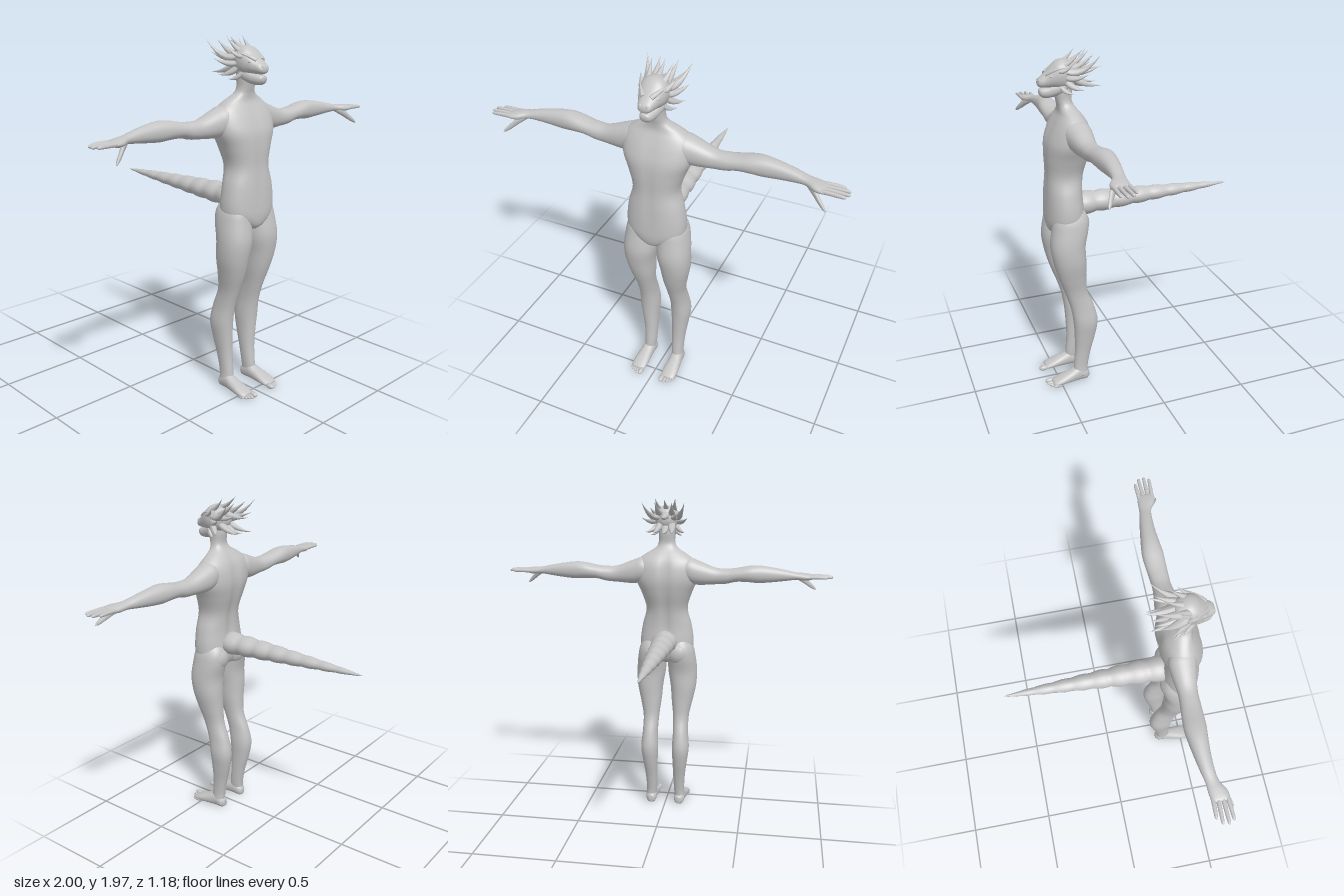
import * as THREE from 'three';

const skin = new THREE.MeshStandardMaterial({ color: 0xc4c4c4 });
skin.name = 'grey skin';

// Section planes (u x v points along the sweep axis)
const AXES = { x: ['y', 'z'], y: ['z', 'x'], z: ['x', 'y'] };

// Smooth closed skin over rows [cx, cy, cz, halfU, halfV], listed in ascending order along the axis
function loft(axis, rows, { sides = 28, steps = 5, power = 2.2, warp } = {}) {
  const spline = pts => new THREE.CatmullRomCurve3(pts, false, 'catmullrom', 0.5);
  const centres = spline(rows.map(r => new THREE.Vector3(r[0], r[1], r[2])));
  const sizes = spline(rows.map(r => new THREE.Vector3(r[3], r[4], 0)));
  const n = (rows.length - 1) * steps;
  const [u, v] = AXES[axis];
  const pos = [], idx = [];
  const round = c => Math.sign(c) * Math.pow(Math.abs(c), 2 / power);
  for (let i = 0; i <= n; i++) {
    const c = centres.getPoint(i / n), s = sizes.getPoint(i / n);
    for (let j = 0; j < sides; j++) {
      const a = (j / sides) * Math.PI * 2, p = c.clone();
      p[u] += Math.max(s.x, 0.001) * round(Math.cos(a));
      p[v] += Math.max(s.y, 0.001) * round(Math.sin(a));
      if (warp) warp(p, c);
      pos.push(p.x, p.y, p.z);
    }
  }
  for (let i = 0; i < n; i++) {
    for (let j = 0; j < sides; j++) {
      const a = i * sides + j, b = i * sides + (j + 1) % sides;
      idx.push(a, b, b + sides, a, b + sides, a + sides);
    }
  }
  // End caps
  for (const [t, row] of [[0, 0], [1, n]]) {
    const c = centres.getPoint(t), k = pos.length / 3;
    pos.push(c.x, c.y, c.z);
    for (let j = 0; j < sides; j++) {
      const a = row * sides + j, b = row * sides + (j + 1) % sides;
      if (t) idx.push(k, a, b); else idx.push(k, b, a);
    }
  }
  const g = new THREE.BufferGeometry();
  g.setAttribute('position', new THREE.Float32BufferAttribute(pos, 3));
  g.setIndex(idx);
  g.computeVertexNormals();
  return g;
}

// Upright rows [y, cx, halfWidth, zFront, zBack]
const upright = rows => rows.map(([y, x, w, f, b]) => [x, y, (f + b) / 2, (f - b) / 2, w]);

function ellipsoid(x, y, z, rx, ry, rz) {
  return new THREE.SphereGeometry(1, 20, 14).scale(rx, ry, rz).translate(x, y, z);
}

// Leaf-shaped spike from base to tip, sagging along the middle
function spike(base, tip, r, sag = 0.012) {
  const a = new THREE.Vector3(...base), d = new THREE.Vector3(...tip).sub(a), len = d.length();
  const g = new THREE.ConeGeometry(r, len, 8, 6).translate(0, len / 2, 0);
  const p = g.attributes.position;
  const q = new THREE.Quaternion().setFromUnitVectors(new THREE.Vector3(0, 1, 0), d.normalize());
  for (let i = 0; i < p.count; i++) {
    const t = p.getY(i) / len, k = 1 + 1.4 * t * (1 - t);
    const w = new THREE.Vector3(p.getX(i) * k, p.getY(i), p.getZ(i) * k * 0.75).applyQuaternion(q).add(a);
    w.y -= sag * 4 * t * (1 - t);
    p.setXYZ(i, w.x, w.y, w.z);
  }
  g.computeVertexNormals();
  return g;
}

function mirrored(g) {
  const m = g.clone().scale(-1, 1, 1), ix = m.index;
  for (let i = 0; i < ix.count; i += 3) {
    const b = ix.getX(i + 1);
    ix.setX(i + 1, ix.getX(i + 2));
    ix.setX(i + 2, b);
  }
  m.computeVertexNormals();
  return m;
}

export function createModel() {
  const model = new THREE.Group();
  model.name = 'hornedFigure';
  const add = (name, g) => {
    const m = new THREE.Mesh(g, skin);
    m.name = name;
    model.add(m);
  };
  const pair = (name, g) => {
    add(name + 'Left', g);
    add(name + 'Right', mirrored(g));
  };

  // Torso and neck, with a shallow groove along spine and breastbone
  add('torso', loft('y', upright([
    [0.955, 0, 0.02, 0.49, 0.38], [0.98, 0, 0.08, 0.515, 0.335], [1.03, 0, 0.155, 0.525, 0.315],
    [1.1, 0, 0.166, 0.525, 0.315], [1.2, 0, 0.152, 0.52, 0.32], [1.3, 0, 0.128, 0.512, 0.31],
    [1.4, 0, 0.155, 0.512, 0.282], [1.48, 0, 0.188, 0.505, 0.267], [1.55, 0, 0.192, 0.48, 0.272],
    [1.6, 0, 0.175, 0.455, 0.288], [1.64, 0, 0.125, 0.435, 0.315], [1.675, 0, 0.068, 0.433, 0.342],
    [1.71, 0, 0.05, 0.44, 0.355], [1.77, 0, 0.05, 0.45, 0.35], [1.83, 0, 0.045, 0.44, 0.36],
  ]), {
    sides: 48, power: 2.3,
    warp(p, c) {
      const fade = THREE.MathUtils.smoothstep(p.y, 1.0, 1.2) * (1 - THREE.MathUtils.smoothstep(p.y, 1.55, 1.68));
      const groove = Math.exp(-((p.x / 0.025) ** 2)) * fade;
      p.z += p.z < c.z ? 0.014 * groove : -0.005 * groove;
    },
  }));

  // Legs
  pair('leg', loft('y', upright([
    [0.035, 0.096, 0.032, 0.42, 0.335], [0.1, 0.09, 0.033, 0.415, 0.33], [0.2, 0.091, 0.038, 0.405, 0.31],
    [0.3, 0.096, 0.046, 0.405, 0.283], [0.4, 0.1, 0.054, 0.41, 0.267], [0.5, 0.098, 0.048, 0.425, 0.287],
    [0.6, 0.096, 0.05, 0.455, 0.323], [0.7, 0.1, 0.066, 0.49, 0.33], [0.8, 0.106, 0.081, 0.515, 0.33],
    [0.9, 0.1, 0.091, 0.528, 0.33], [1.0, 0.094, 0.086, 0.515, 0.308], [1.07, 0.088, 0.075, 0.5, 0.312],
    [1.15, 0.075, 0.04, 0.46, 0.36],
  ])));
  pair('buttock', ellipsoid(0.08, 1.025, 0.365, 0.078, 0.08, 0.066));

  // Feet and toes
  pair('foot', loft('z', [
    [0.09, 0.03, 0.325, 0.015, 0.02], [0.092, 0.036, 0.345, 0.032, 0.036], [0.093, 0.045, 0.39, 0.036, 0.045],
    [0.096, 0.036, 0.44, 0.04, 0.036], [0.098, 0.025, 0.5, 0.045, 0.025], [0.098, 0.017, 0.54, 0.041, 0.016],
    [0.096, 0.014, 0.552, 0.03, 0.01],
  ]));
  [[0.069, 0.563, 0.015], [0.091, 0.56, 0.01], [0.107, 0.55, 0.009], [0.121, 0.54, 0.009], [0.134, 0.527, 0.009]]
    .forEach(([x, z, r], i) => pair('toe' + (i + 1), ellipsoid(x, r, z, r, r, 0.028)));

  // Arms: rows along x with half height, half depth
  pair('arm', loft('x', [
    [0.08, 1.545, 0.365, 0.05, 0.06], [0.14, 1.545, 0.365, 0.075, 0.075], [0.2, 1.53, 0.362, 0.072, 0.068],
    [0.3, 1.514, 0.36, 0.05, 0.052], [0.37, 1.515, 0.357, 0.045, 0.053], [0.43, 1.525, 0.353, 0.041, 0.056],
    [0.5, 1.532, 0.35, 0.048, 0.058], [0.56, 1.532, 0.35, 0.052, 0.052], [0.64, 1.53, 0.353, 0.044, 0.043],
    [0.72, 1.527, 0.36, 0.032, 0.036], [0.78, 1.523, 0.37, 0.022, 0.034], [0.83, 1.518, 0.386, 0.022, 0.047],
    [0.87, 1.517, 0.392, 0.016, 0.048], [0.885, 1.517, 0.392, 0.008, 0.04],
  ]));

  // Fingers and thumb
  [[0.355, 0.35, 0.965], [0.379, 0.375, 0.995], [0.403, 0.405, 1.0], [0.426, 0.432, 0.985]]
    .forEach(([z0, z1, x1], i) => pair('finger' + (i + 1), loft('x', [
      [0.85, 1.517, z0, 0.012, 0.012], [0.9, 1.519, z0 * 0.6 + z1 * 0.4, 0.011, 0.011],
      [x1 - 0.02, 1.518, z1, 0.009, 0.009], [x1 - 0.005, 1.517, z1, 0.006, 0.006], [x1, 1.516, z1, 0.001, 0.001],
    ], { sides: 12 })));
  pair('thumb', loft('x', [
    [0.79, 1.515, 0.39, 0.015, 0.014], [0.83, 1.495, 0.415, 0.021, 0.015], [0.865, 1.465, 0.438, 0.017, 0.012],
    [0.892, 1.443, 0.453, 0.011, 0.009], [0.905, 1.432, 0.46, 0.002, 0.002],
  ], { sides: 12 }));

  // Tail: overlapping scaly segments with a raised ridge on top
  const tailLength = 0.93;
  add('tail', loft('z', Array.from({ length: 55 }, (_, i) => {
    const t = 1 - i / 54, seg = (t * 8.5) % 1;
    const taper = Math.pow(1 - t, 0.72) * (0.93 + 0.15 * Math.sin(Math.PI * Math.pow(seg, 0.8)));
    return [0, 1.103 + 0.007 * t, 0.34 - tailLength * t, 0.073 * taper + 0.001, 0.062 * taper + 0.001];
  }), {
    steps: 1, sides: 24, power: 2,
    warp(p, c) {
      if (p.y > c.y) p.y += 0.11 * Math.max(0, (p.y - c.y) - Math.abs(p.x));
    },
  }));

  // Head: skull with muzzle, lower jaw, brows, eyes and nostrils
  add('skull', loft('z', [
    [0, 1.845, 0.315, 0.02, 0.02], [0, 1.845, 0.34, 0.056, 0.06], [0, 1.845, 0.39, 0.073, 0.079],
    [0, 1.843, 0.43, 0.073, 0.074], [0, 1.832, 0.465, 0.06, 0.055], [0, 1.818, 0.495, 0.046, 0.038],
    [0, 1.81, 0.52, 0.037, 0.027], [0, 1.807, 0.533, 0.025, 0.016], [0, 1.806, 0.537, 0.005, 0.004],
  ]));
  add('jaw', loft('z', [
    [0, 1.795, 0.36, 0.035, 0.025], [0, 1.785, 0.4, 0.06, 0.038], [0, 1.772, 0.44, 0.054, 0.04],
    [0, 1.759, 0.48, 0.042, 0.034], [0, 1.755, 0.51, 0.033, 0.027], [0, 1.758, 0.526, 0.022, 0.017],
    [0, 1.76, 0.531, 0.004, 0.004],
  ]));
  pair('brow', spike([0.022, 1.852, 0.492], [0.082, 1.89, 0.405], 0.014, -0.006));
  pair('eye', ellipsoid(0.046, 1.844, 0.468, 0.013, 0.009, 0.013));
  pair('nostril', ellipsoid(0.018, 1.822, 0.523, 0.009, 0.008, 0.011));

  // Crest spikes on the midline
  [[[0, 1.89, 0.42], [0, 1.965, 0.28], 0.024], [[0, 1.88, 0.36], [0, 1.87, 0.18], 0.028],
    [[0, 1.81, 0.35], [0, 1.775, 0.215], 0.024]]
    .forEach(([a, b, r], i) => add('crestSpike' + (i + 1), spike(a, b, r)));

  // Mirrored crest spikes
  [[[0.035, 1.885, 0.42], [0.06, 1.97, 0.31], 0.021], [[0.033, 1.87, 0.37], [0.05, 1.95, 0.235], 0.024],
    [[0.045, 1.86, 0.36], [0.075, 1.885, 0.215], 0.022], [[0.06, 1.835, 0.39], [0.135, 1.86, 0.29], 0.021],
    [[0.055, 1.81, 0.39], [0.118, 1.775, 0.31], 0.021], [[0.035, 1.82, 0.35], [0.055, 1.78, 0.2], 0.024],
    [[0.05, 1.785, 0.42], [0.098, 1.755, 0.36], 0.016], [[0.055, 1.87, 0.43], [0.098, 1.915, 0.36], 0.018]]
    .forEach(([a, b, r], i) => pair('sideSpike' + (i + 1), spike(a, b, r)));

  // Large horns curving outward and up
  pair('horn', spike([0.05, 1.865, 0.39], [0.125, 1.952, 0.225], 0.026, 0.035));

  return model;
}
